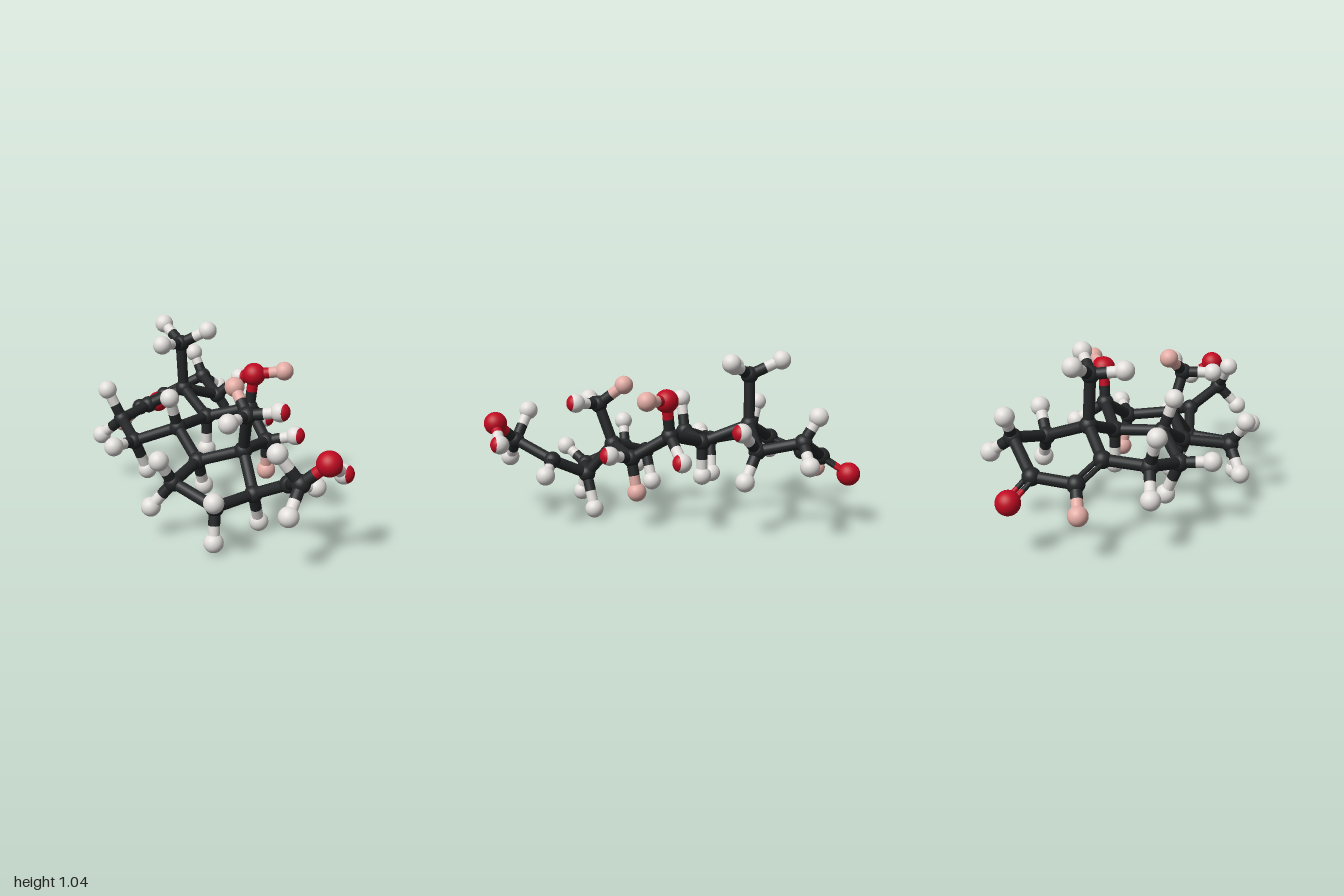
import * as THREE from 'three';

const mat = (name, hex) => {
  const m = new THREE.MeshStandardMaterial({ color: hex });
  m.name = name;
  return m;
};

export function createModel() {
  const group = new THREE.Group();
  group.name = 'ballAndStickModel';
  const carbon = mat('charcoal', 0x242627);
  const oxygen = mat('red', 0xc00a22);
  const hydrogen = mat('white', 0xe0ddda);
  const blush = mat('pink', 0xe2aca4);

  // Atom kinds: ball radius and material
  const kinds = {
    C: { r: 0.052, m: carbon, name: 'carbon' },
    O: { r: 0.069, m: oxygen, name: 'oxygen' },
    H: { r: 0.056, m: hydrogen, name: 'hydrogen' },
    P: { r: 0.056, m: blush, name: 'pinkHydrogen' },
    T: { r: 0.056, m: hydrogen, name: 'tippedHydrogen' }, // white with a red cap
  };

  const up = new THREE.Vector3(0, 1, 0);
  const atoms = {};

  function addBall(kind, p) {
    const { r, m, name } = kinds[kind];
    if (kind !== 'T') {
      const ball = new THREE.Mesh(new THREE.SphereGeometry(r, 28, 20), m);
      ball.name = name;
      ball.position.copy(p);
      group.add(ball);
      return;
    }
    const cut = 1.0;
    const tipped = new THREE.Group();
    tipped.name = name;
    const cap = new THREE.Mesh(new THREE.SphereGeometry(r, 28, 8, 0, Math.PI * 2, 0, cut), oxygen);
    cap.name = 'redCap';
    const body = new THREE.Mesh(new THREE.SphereGeometry(r, 28, 14, 0, Math.PI * 2, cut, Math.PI - cut), m);
    body.name = 'whiteBody';
    tipped.add(cap, body);
    tipped.position.copy(p);
    tipped.quaternion.setFromUnitVectors(up, new THREE.Vector3(1, 0.1, 0).normalize());
    group.add(tipped);
  }

  function addRod(a, b, r, m, name) {
    const d = b.clone().sub(a);
    const rod = new THREE.Mesh(new THREE.CylinderGeometry(r, r, d.length(), 18), m);
    rod.name = name;
    rod.position.copy(a).addScaledVector(d, 0.5);
    rod.quaternion.setFromUnitVectors(up, d.normalize());
    group.add(rod);
  }

  // Each half of a bond takes the colour of its nearer atom
  function addBond(a, b, r = 0.033, offset = new THREE.Vector3()) {
    const p = a.p.clone().add(offset), q = b.p.clone().add(offset);
    if (a.kind === b.kind) return addRod(p, q, r, kinds[a.kind].m, 'bond');
    const mid = p.clone().lerp(q, 0.5);
    addRod(p, mid, r, kinds[a.kind].m, 'bondHalf');
    addRod(mid, q, r, kinds[b.kind].m, 'bondHalf');
  }

  function addDoubleBond(a, b) {
    const side = b.p.clone().sub(a.p).cross(up).setLength(0.024);
    addBond(a, b, 0.015, side);
    addBond(a, b, 0.015, side.clone().negate());
  }

  function atom(id, kind, x, y, z) {
    atoms[id] = { kind, p: new THREE.Vector3(x, y, z) };
    addBall(kind, atoms[id].p);
    return atoms[id];
  }

  // Skeleton: four fused rings, two side groups and the oxygens
  const skeleton = [
    ['c1', 'C', -0.365, 0.51, -0.45], ['c2', 'C', -0.58, 0.57, -0.595],
    ['c3', 'C', -0.8, 0.435, -0.45], ['c4', 'C', -0.82, 0.41, -0.21],
    ['c5', 'C', -0.655, 0.49, -0.09], ['c6', 'C', -0.665, 0.465, 0.165],
    ['c7', 'C', -0.45, 0.41, 0.315], ['c8', 'C', -0.21, 0.51, 0.2],
    ['c9', 'C', -0.195, 0.5, -0.08], ['c10', 'C', -0.45, 0.61, -0.195],
    ['c11', 'C', 0.06, 0.58, -0.17], ['c12', 'C', 0.255, 0.44, -0.05],
    ['c13', 'C', 0.265, 0.47, 0.22], ['c14', 'C', 0.01, 0.38, 0.31],
    ['c15', 'C', 0.04, 0.35, 0.59], ['c16', 'C', 0.315, 0.265, 0.585],
    ['c17', 'C', 0.4, 0.27, 0.325], ['c18', 'C', 0.33, 0.71, 0.285],
    ['c19', 'C', -0.455, 0.905, -0.18], ['c20', 'C', 0.622, 0.38, 0.32],
    ['c21', 'C', 0.795, 0.485, 0.5], ['o3', 'O', -0.93, 0.335, -0.55],
    ['o11', 'O', 0.085, 0.79, -0.18], ['o21', 'O', 0.93, 0.61, 0.45],
  ];
  skeleton.forEach((s) => atom(...s));

  const chains = [
    'c5 c6 c7 c8 c9 c10 c1 c2 c3 c4', 'c5 c10 c19', 'c9 c11 c12 c13 c14 c8',
    'c14 c15 c16 c17 c13 c18', 'c17 c20 c21 o21', 'c11 o11',
  ];
  for (const chain of chains) {
    const ids = chain.split(' ');
    for (let i = 1; i < ids.length; i++) addBond(atoms[ids[i - 1]], atoms[ids[i]]);
  }
  addDoubleBond(atoms.c3, atoms.o3);
  addDoubleBond(atoms.c4, atoms.c5);

  // Hydrogens: parent atom, kind, position
  const hydrogens = [
    ['c1', 'T', -0.23, 0.64, -0.51], ['c1', 'H', -0.265, 0.345, -0.49],
    ['c2', 'H', -0.54, 0.465, -0.735], ['c2', 'H', -0.665, 0.715, -0.615],
    ['c4', 'P', -0.945, 0.285, -0.18],
    ['c6', 'H', -0.82, 0.335, 0.185], ['c6', 'H', -0.735, 0.653, 0.21],
    ['c7', 'H', -0.46, 0.425, 0.495], ['c7', 'H', -0.42, 0.205, 0.235],
    ['c8', 'H', -0.217, 0.705, 0.265], ['c9', 'H', -0.195, 0.29, -0.08],
    ['c11', 'T', 0.065, 0.46, -0.35], ['o11', 'P', 0.245, 0.815, -0.265],
    ['c12', 'P', 0.235, 0.24, -0.085], ['c12', 'T', 0.415, 0.485, -0.115],
    ['c14', 'H', 0, 0.2, 0.235],
    ['c15', 'H', -0.07, 0.2, 0.655], ['c15', 'H', 0.012, 0.5, 0.68],
    ['c16', 'H', 0.4, 0.36, 0.72], ['c16', 'H', 0.33, 0.07, 0.62],
    ['c17', 'H', 0.385, 0.065, 0.24],
    ['c18', 'P', 0.195, 0.83, 0.205], ['c18', 'T', 0.5, 0.74, 0.215], ['c18', 'H', 0.325, 0.712, 0.468],
    ['c19', 'H', -0.633, 0.993, -0.248], ['c19', 'H', -0.297, 0.993, -0.248], ['c19', 'H', -0.457, 0.932, 0.01],
    ['c20', 'H', 0.713, 0.328, 0.168],
    ['c21', 'H', 0.69, 0.65, 0.565], ['c21', 'H', 0.8, 0.35, 0.63],
    ['o21', 'T', 0.945, 0.51, 0.308],
  ];
  hydrogens.forEach(([parent, kind, x, y, z], i) => addBond(atoms[parent], atom('h' + i, kind, x, y, z)));

  return group;
}
